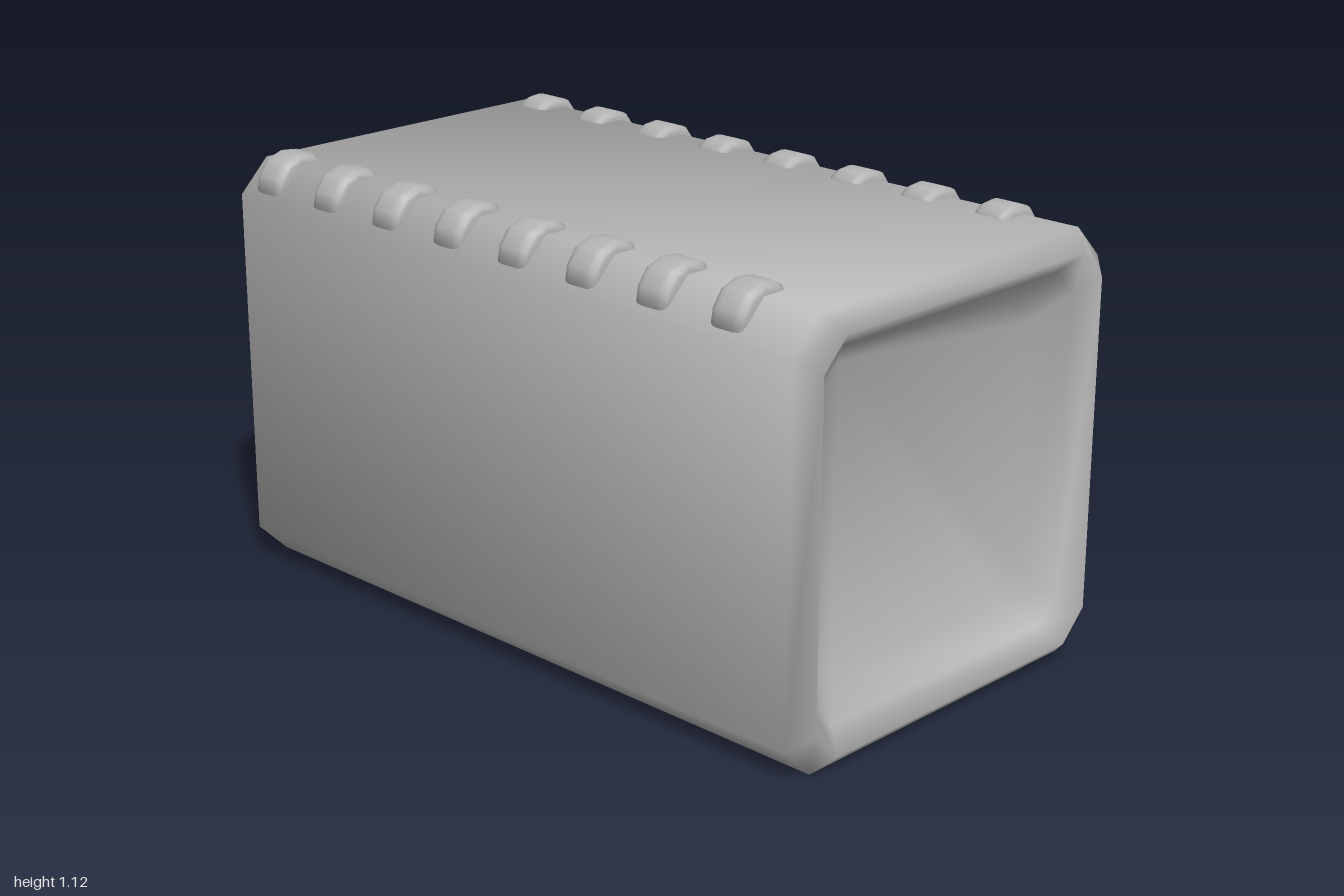
import * as THREE from 'three';
import { toCreasedNormals } from 'three/addons/utils/BufferGeometryUtils.js';

const CENTER_Y = 0.55;

// Chamfered square cross-section, counter-clockwise seen from +z
function ring(half, chamfer) {
  const s = half - chamfer;
  return [
    [half, -s], [half, s], [s, half], [-s, half],
    [-half, s], [-half, -s], [-s, -half], [s, -half],
  ];
}

// Smooth normals that give every face the same weight, for soft gradients over large panels
function evenNormals(pos, index) {
  const point = (i) => new THREE.Vector3().fromArray(pos, i * 3);
  const normals = Array.from({ length: pos.length / 3 }, () => new THREE.Vector3());
  const face = new THREE.Vector3();
  for (let i = 0; i < index.length; i += 3) {
    const corners = index.slice(i, i + 3);
    new THREE.Triangle(...corners.map(point)).getNormal(face);
    corners.forEach((c) => normals[c].add(face));
  }
  return normals.flatMap((n) => n.normalize().toArray());
}

// Casing lofted from the shallow front recess, over the rim and outside, to the rear recess
function casingGeometry() {
  const front = [
    [0.88, 0.382, 0.065], // recess panel
    [0.95, 0.4535, 0.065], // opening
    [1.0, 0.5, 0.075], // rim crest
    [0.95, 0.548, 0.085], // outer wall
  ];
  const back = front.map(([z, h, c]) => [-z, h, c]).reverse();
  const sections = [...front, ...back];
  const pos = [];
  const index = [];
  sections.forEach(([z, h, c]) => ring(h, c).forEach(([x, y]) => pos.push(x, CENTER_Y + y, z)));
  for (let i = 0; i < sections.length - 1; i++) {
    for (let j = 0; j < 8; j++) {
      const k = (j + 1) % 8;
      const a = i * 8 + j, b = a + 8, c = (i + 1) * 8 + k, d = i * 8 + k;
      index.push(a, b, c, a, c, d);
    }
  }
  // Flat recess panels at both ends
  const last = (sections.length - 1) * 8;
  for (let j = 1; j < 7; j++) {
    index.push(3, (3 + j) % 8, (4 + j) % 8);
    index.push(last + 3, last + (4 + j) % 8, last + (3 + j) % 8);
  }
  const g = new THREE.BufferGeometry();
  g.setAttribute('position', new THREE.Float32BufferAttribute(pos, 3));
  g.setAttribute('normal', new THREE.Float32BufferAttribute(evenNormals(pos, index), 3));
  g.setIndex(index);
  return g;
}

// Rounded lug wrapped over a top edge; side is +1 or -1
function lugGeometry(side) {
  const profile = [
    [0.385, 1.05], [0.46, 1.03], [0.5, 0.99], [0.538, 1.03], [0.53, 1.07],
    [0.5, 1.11], [0.456, 1.125], [0.415, 1.121], [0.388, 1.106],
  ].map(([x, y]) => new THREE.Vector2(x * side, y));
  const g = new THREE.ExtrudeGeometry(new THREE.Shape(profile), {
    depth: 0.05, bevelEnabled: true, bevelThickness: 0.025,
    bevelSize: 0.018, bevelOffset: -0.018, bevelSegments: 3,
  });
  g.translate(0, 0, -0.025);
  return toCreasedNormals(g, 1.4);
}

export function createModel() {
  const grey = new THREE.MeshStandardMaterial({ color: 0xb4b4b4 });
  grey.name = 'plain grey';

  const model = new THREE.Group();
  model.name = 'squareCasing';

  const casing = new THREE.Mesh(casingGeometry(), grey);
  casing.name = 'casing';
  model.add(casing);

  // Two rows of lugs along the upper edges
  for (const side of [1, -1]) {
    const row = new THREE.Group();
    row.name = side > 0 ? 'leftLugs' : 'rightLugs';
    const geometry = lugGeometry(side);
    for (let i = 0; i < 8; i++) {
      const lug = new THREE.Mesh(geometry, grey);
      lug.name = 'lug';
      lug.position.z = -0.86 + i * 0.229;
      row.add(lug);
    }
    model.add(row);
  }
  return model;
}
